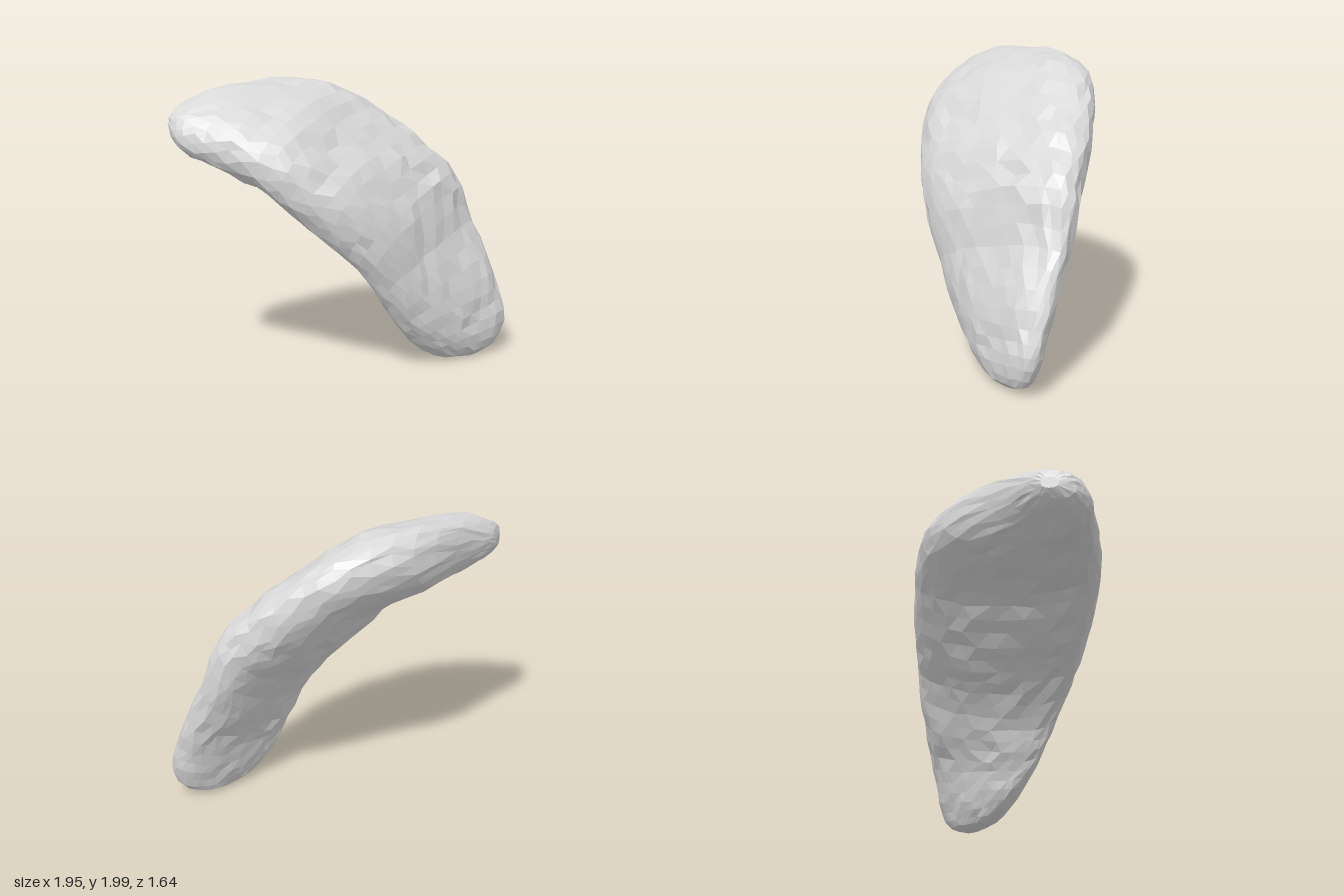
import * as THREE from 'three';

// Stations along the bent slab:
// outer x,y  inner x,y  front z, back z, front lean, back lean
const STATIONS = [
  [-0.97, 1.78, -0.97, 1.69, 0.64, 0.52, 0.08, 0.1],
  [-0.95, 1.85, -0.92, 1.62, 0.76, 0.43, 0.15, 0.12],
  [-0.84, 1.94, -0.8, 1.53, 0.82, 0.2, 0.2, 0.15],
  [-0.62, 2.0, -0.66, 1.46, 0.81, -0.24, 0.22, 0.18],
  [-0.35, 1.97, -0.5, 1.38, 0.8, -0.5, 0.22, 0.22],
  [-0.12, 1.88, -0.3, 1.27, 0.76, -0.62, 0.2, 0.24],
  [0.08, 1.73, -0.16, 1.12, 0.69, -0.69, 0.18, 0.26],
  [0.28, 1.57, 0.0, 0.95, 0.6, -0.75, 0.17, 0.28],
  [0.45, 1.41, 0.13, 0.83, 0.5, -0.78, 0.19, 0.3],
  [0.58, 1.24, 0.25, 0.68, 0.38, -0.81, 0.23, 0.32],
  [0.68, 0.98, 0.34, 0.52, 0.26, -0.81, 0.28, 0.34],
  [0.82, 0.7, 0.4, 0.38, 0.15, -0.79, 0.33, 0.36],
  [0.92, 0.45, 0.45, 0.25, 0.04, -0.77, 0.35, 0.37],
  [0.97, 0.27, 0.52, 0.12, -0.09, -0.75, 0.35, 0.36],
  [0.94, 0.09, 0.61, 0.03, -0.24, -0.67, 0.33, 0.34],
  [0.83, 0.01, 0.74, 0.01, -0.4, -0.52, 0.25, 0.25],
];
const ROWS = 34, SIDES = 30;

// Small seeded random generator
function seeded(seed) {
  return () => {
    seed = (seed * 1664525 + 1013904223) % 4294967296;
    return seed / 4294967296 - 0.5;
  };
}

// Smooth curve through three columns of the station list
function stationCurve(a, b, c) {
  return new THREE.CatmullRomCurve3(
    STATIONS.map((s) => new THREE.Vector3(s[a], s[b], s[c])));
}

function slabGeometry() {
  const random = seeded(7);
  const outerCurve = stationCurve(0, 1, 4);
  const innerCurve = stationCurve(2, 3, 5);
  const frontLeanCurve = stationCurve(0, 1, 6);
  const backLeanCurve = stationCurve(0, 1, 7);
  const power = (v, e) => Math.sign(v) * Math.abs(v) ** e;
  const points = [];

  // Slanted oval sections: front rim towards the inner side, back rim towards the outer
  for (let i = 0; i <= ROWS; i++) {
    const t = i / ROWS;
    const outer = outerCurve.getPoint(t), inner = innerCurve.getPoint(t);
    const frontLean = frontLeanCurve.getPoint(t).z, backLean = backLeanCurve.getPoint(t).z;
    const thick = Math.sqrt(0.25 - ((frontLean + backLean) / 2) ** 2) * 0.95;
    const middle = (outer.z + inner.z) / 2, half = (outer.z - inner.z) / 2;
    const fade = Math.sin(Math.PI * t) ** 0.5;
    for (let j = 0; j < SIDES; j++) {
      const angle = ((j + (i % 2) * 0.5 + random() * 0.5 * fade) / SIDES) * Math.PI * 2;
      const c = power(Math.cos(angle), 0.87), s = power(Math.sin(angle), 0.82);
      const z = middle + c * half;

      // Weathered hollows, strongest on the outer face
      const rough = (s > 0 ? 0.024 : 0.01) * fade * Math.abs(s);
      const w = 0.5 + thick * s - (c > 0 ? frontLean : backLean) * c
        + rough * (Math.sin(t * 31 + z * 5) * Math.sin(z * 8 - t * 9) + 1.6 * random());
      points.push(new THREE.Vector3(
        THREE.MathUtils.lerp(inner.x, outer.x, w) + random() * 0.02 * fade,
        THREE.MathUtils.lerp(inner.y, outer.y, w) + random() * 0.02 * fade,
        z + random() * 0.02 * fade));
    }
  }

  // Skin between neighbouring sections
  const index = [];
  for (let i = 0; i < ROWS; i++) {
    for (let j = 0; j < SIDES; j++) {
      const k = (j + 1) % SIDES;
      const a = i * SIDES + j, b = i * SIDES + k;
      const c = a + SIDES, d = b + SIDES;
      if (i % 2) index.push(a, c, d, a, d, b);
      else index.push(a, c, b, b, c, d);
    }
  }

  // Close both ends
  for (const row of [0, ROWS]) {
    const centre = new THREE.Vector3();
    for (let j = 0; j < SIDES; j++) centre.addScaledVector(points[row * SIDES + j], 1 / SIDES);
    const hub = points.push(centre) - 1;
    for (let j = 0; j < SIDES; j++) {
      const a = row * SIDES + j, b = row * SIDES + ((j + 1) % SIDES);
      if (row === 0) index.push(hub, a, b);
      else index.push(hub, b, a);
    }
  }
  const geometry = new THREE.BufferGeometry().setFromPoints(points);
  geometry.setIndex(index);
  const faceted = geometry.toNonIndexed();
  faceted.computeVertexNormals();
  return faceted;
}

export function createModel() {
  const group = new THREE.Group();
  group.name = 'rock';
  const stone = new THREE.MeshStandardMaterial({ color: 0xd8d8d8 });
  stone.name = 'pale stone grey';
  const slab = new THREE.Mesh(slabGeometry(), stone);
  slab.name = 'curvedStoneSlab';
  group.add(slab);
  return group;
}
